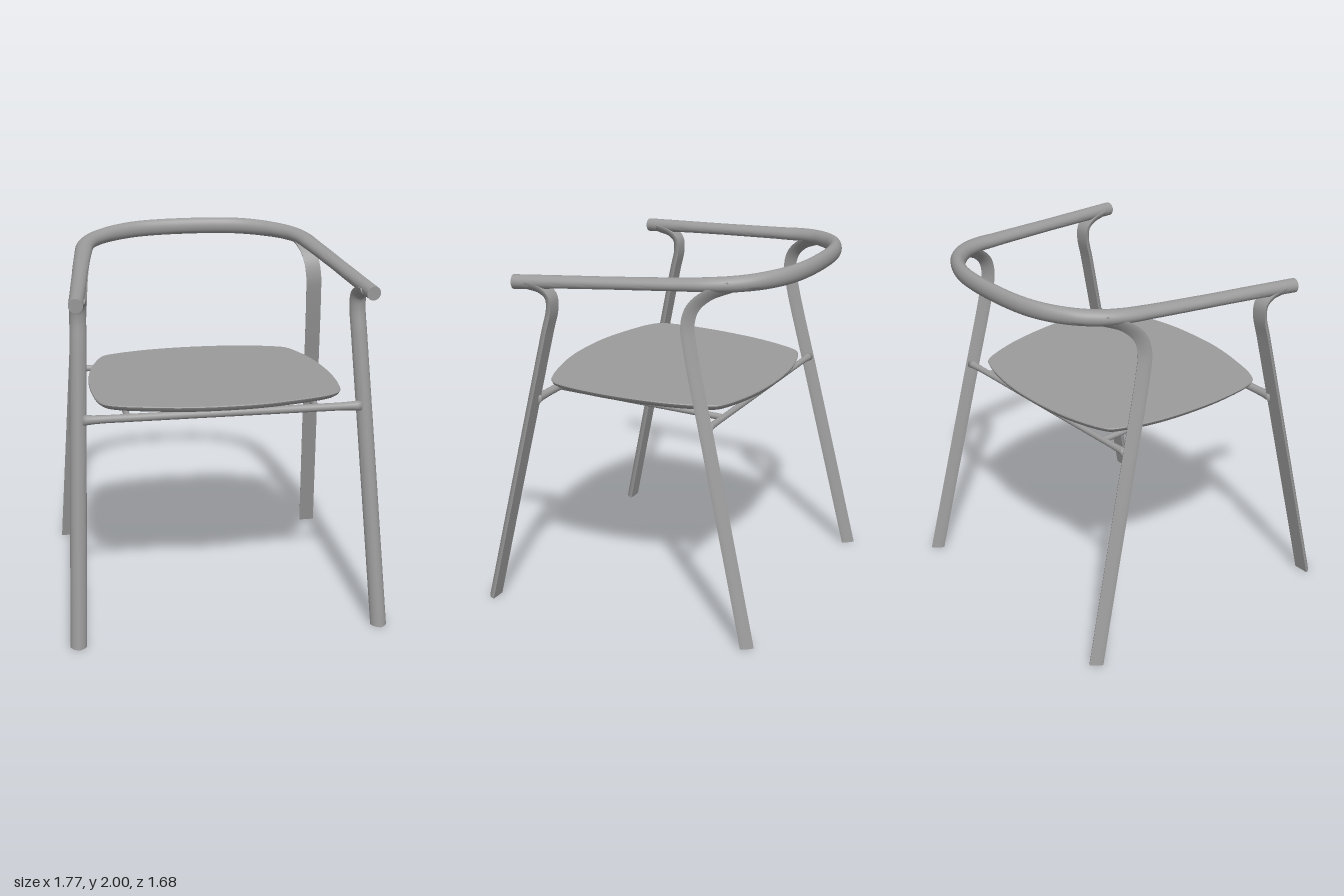
import * as THREE from 'three';
import { toCreasedNormals } from 'three/addons/utils/BufferGeometryUtils.js';

const material = new THREE.MeshStandardMaterial({ color: 0x9b9b9b });
const V = (x, y, z) => new THREE.Vector3(x, y, z);

function addMesh(parent, name, geometry) {
  const mesh = new THREE.Mesh(geometry, material);
  mesh.name = name;
  parent.add(mesh);
  return mesh;
}

// Skin a list of equal-length rings and close both ends
function loft(rings, crease = 0.6) {
  const n = rings[0].length, index = [], last = (rings.length - 1) * n;
  for (let i = 0; i < rings.length - 1; i++) {
    for (let j = 0; j < n; j++) {
      const a = i * n + j, b = i * n + (j + 1) % n;
      index.push(a, a + n, b, b, a + n, b + n);
    }
  }
  for (let j = 1; j < n - 1; j++) {
    index.push(0, j, j + 1, last, last + j + 1, last + j);
  }
  const g = new THREE.BufferGeometry().setFromPoints(rings.flat());
  g.setIndex(index);
  return toCreasedNormals(g, crease);
}

// Carry a cross-section along a curve; ref fixes the section's u axis
function sweep(curve, steps, ref, section, footOnGround = false) {
  const rings = [];
  for (let i = 0; i <= steps; i++) {
    const t = i / steps, p = curve.getPoint(t), T = curve.getTangent(t);
    const U = ref.clone().addScaledVector(T, -ref.dot(T)).normalize();
    const W = U.clone().cross(T);
    rings.push(section(t).map(([u, v]) => {
      const q = p.clone().addScaledVector(U, u).addScaledVector(W, v);
      if (footOnGround && i === 0) q.addScaledVector(T, -q.y / T.y);
      return q;
    }));
  }
  return loft(rings);
}

// Leg section: flat towards the middle of the chair, outside between round (1) and ridged (0)
function legSection(width, depth, roundness, sign) {
  const pts = [];
  for (let i = 0; i <= 12; i++) {
    const a = Math.PI * i / 12;
    const bulge = roundness * Math.sin(a) + (1 - roundness) * (1 - Math.abs(Math.cos(a)));
    pts.push([width / 2 * Math.cos(a), sign * depth * (bulge - 0.5)]);
  }
  return sign > 0 ? pts : pts.reverse();
}

function legGeometry(points, side, section) {
  const path = new THREE.CatmullRomCurve3(points.map(([x, y, z]) => V(x * side, y, z)));
  return sweep(path, 48, V(1, 0, 0), () => section, true);
}

// Cross rail that flares gently where it meets the legs
function crossRail(half, r) {
  const end = [[half - 0.12, r], [half - 0.06, r * 1.1], [half - 0.025, r * 1.25], [half, r * 1.5], [half, 0]];
  const profile = [...end.map(([y, x]) => [x, -y]).reverse(), ...end.map(([y, x]) => [x, y])];
  return new THREE.LatheGeometry(profile.map(p => new THREE.Vector2(...p)), 20).rotateZ(Math.PI / 2);
}

export function createModel() {
  const chair = new THREE.Group();
  chair.name = 'armchair';

  // Legs, bent at the top to run into the armrest
  const frontPath = [[0.838, 0, 0.812], [0.814, 0.55, 0.69], [0.79, 1.1, 0.567], [0.768, 1.6, 0.455],
    [0.763, 1.73, 0.425], [0.763, 1.795, 0.432], [0.767, 1.832, 0.475], [0.776, 1.852, 0.56]];
  const rearPath = [[0.773, 0, -0.757], [0.747, 0.55, -0.628], [0.721, 1.1, -0.498], [0.697, 1.6, -0.38],
    [0.69, 1.73, -0.362], [0.677, 1.815, -0.385], [0.65, 1.88, -0.45], [0.607, 1.925, -0.555]];
  const frontSection = legSection(0.09, 0.05, 0.7, 1);
  const rearSection = legSection(0.09, 0.06, 0.45, -1);
  for (const side of [1, -1]) {
    const label = side > 0 ? 'left' : 'right';
    addMesh(chair, label + 'FrontLeg', legGeometry(frontPath, side, frontSection));
    addMesh(chair, label + 'RearLeg', legGeometry(rearPath, side, rearSection));
  }

  // One continuous armrest and backrest
  const halfPath = [[0.79, 1.863, 0.63], [0.75, 1.883, 0.32], [0.71, 1.903, 0], [0.669, 1.922, -0.3],
    [0.643, 1.932, -0.45], [0.59, 1.938, -0.57], [0.48, 1.944, -0.685], [0.3, 1.95, -0.775]];
  // Half height, half width, depth of the underside
  const halfSize = [[0.039, 0.039, 1], [0.037, 0.042, 0.75], [0.036, 0.045, 0.7], [0.037, 0.048, 0.7],
    [0.04, 0.049, 0.75], [0.043, 0.046, 0.9], [0.046, 0.041, 1], [0.048, 0.036, 1]];
  const full = (half, mid, flip) => new THREE.CatmullRomCurve3([
    ...half.map(p => V(...p)), V(...mid), ...half.map(([x, y, z]) => V(flip * x, y, z)).reverse()]);
  const armPath = full(halfPath, [0, 1.952, -0.806], -1);
  const armSize = full(halfSize, [0.048, 0.035, 1], 1);
  addMesh(chair, 'armrest', sweep(armPath, 96, V(0, 1, 0), t => {
    const s = armSize.getPoint(t), pts = [];
    for (let i = 0; i < 24; i++) {
      const a = 2 * Math.PI * i / 24;
      pts.push([s.x * Math.max(Math.cos(a), -s.z), s.y * Math.sin(a)]);
    }
    return pts;
  }));

  // Seat panel with an undercut edge, tipped slightly back
  const halfOutline = [[0.2, 0.635], [0.42, 0.59], [0.59, 0.535], [0.65, 0.49], [0.675, 0.42],
    [0.692, 0.22], [0.682, 0], [0.652, -0.2], [0.604, -0.36], [0.56, -0.455], [0.52, -0.485], [0.3, -0.55]];
  const outline = new THREE.CatmullRomCurve3([V(0, 0, 0.645), ...halfOutline.map(([x, z]) => V(x, 0, z)),
    V(0, 0, -0.575), ...halfOutline.map(([x, z]) => V(-x, 0, z)).reverse()], true).getPoints(104).slice(0, -1);
  const layers = [[0, 0.996], [-0.006, 1], [-0.02, 0.99], [-0.034, 0.965], [-0.043, 0.925]];
  const seatRings = layers.map(([dy, k]) => outline.map(p =>
    V(p.x * k, 1.27 + dy + 0.025 * p.z, 0.03 + (p.z - 0.03) * k)));
  addMesh(chair, 'seat', loft(seatRings, 0.7));

  // Rails under the seat
  addMesh(chair, 'frontRail', crossRail(0.765, 0.022)).position.set(0, 1.208, 0.533);
  addMesh(chair, 'rearRail', crossRail(0.705, 0.017)).position.set(0, 1.181, -0.48);
  for (const side of [1, -1]) {
    const rail = addMesh(chair, 'sideRail', new THREE.CylinderGeometry(0.017, 0.017, 1.013, 16));
    rail.position.set(side * 0.52, 1.196, 0.0265);
    rail.rotation.x = Math.PI / 2 - 0.0265;
  }
  return chair;
}
